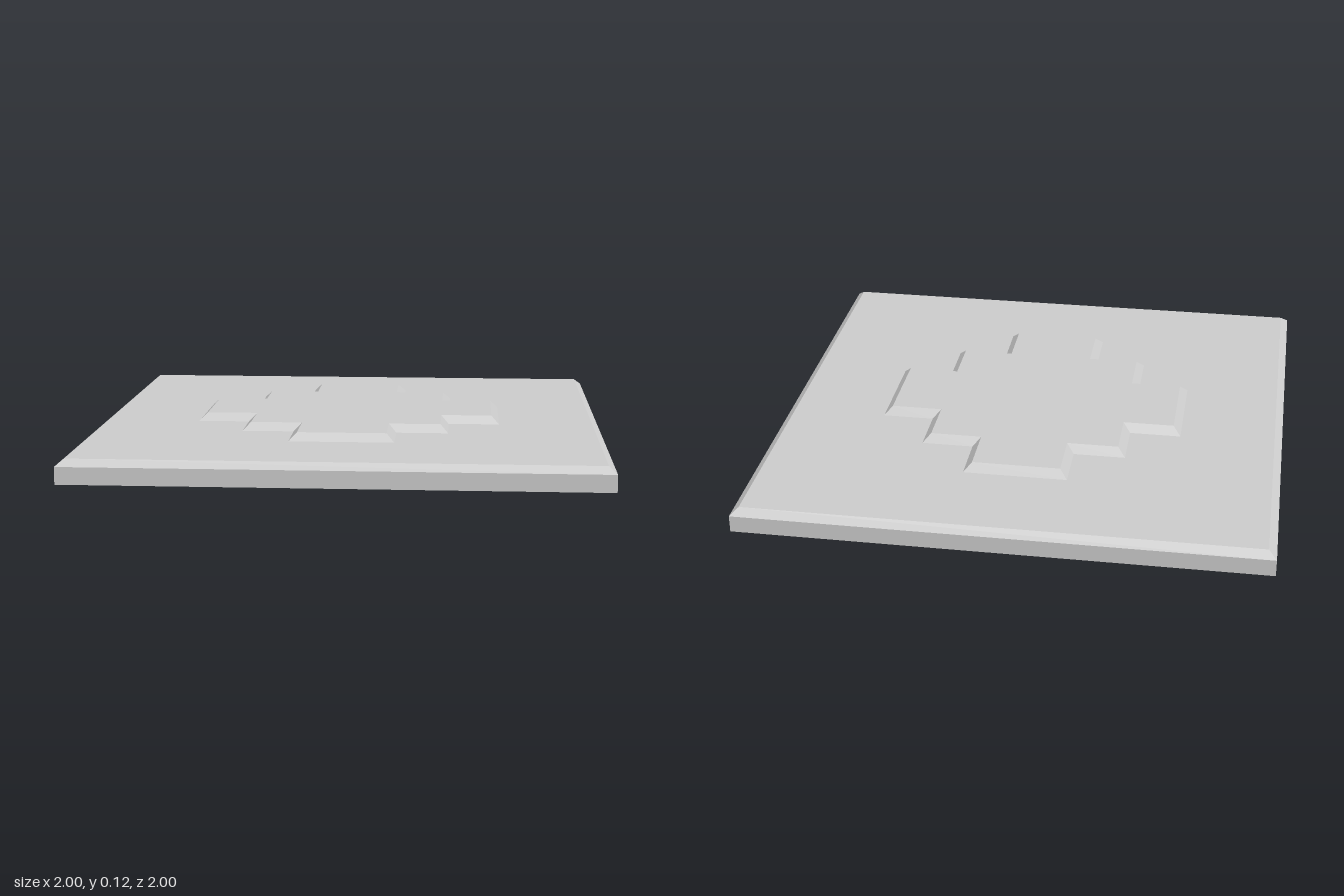
import * as THREE from 'three';

const INSET = 0.03;
const material = new THREE.MeshStandardMaterial({ color: 0xcccccc, flatShading: true });

// Plate with an upright wall (may be 0) topped by a chamfer that leans inward.
function chamferedPlate(name, outline, wall, chamfer) {
  const steps = wall > 0 ? 2 : 1;
  const height = wall + chamfer;
  const geometry = new THREE.ExtrudeGeometry(new THREE.Shape(outline), {
    depth: height, steps, bevelEnabled: false,
  });
  const p = geometry.attributes.position;
  for (let i = 0; i < p.count; i++) {
    const level = Math.round((p.getZ(i) / height) * steps);
    if (level === steps) {
      // top ring: every corner moves toward the centre lines
      p.setX(i, p.getX(i) - Math.sign(p.getX(i)) * INSET);
      p.setY(i, p.getY(i) - Math.sign(p.getY(i)) * INSET);
    } else if (level === 1) {
      p.setZ(i, wall);
    }
  }
  geometry.rotateX(-Math.PI / 2);
  geometry.computeVertexNormals();
  const mesh = new THREE.Mesh(geometry, material);
  mesh.name = name;
  return mesh;
}

// Repeat one quadrant's corners by quarter turns.
function fourfold(corners) {
  const points = [];
  for (let k = 0; k < 4; k++) {
    for (const [x, y] of corners) {
      const [c, s] = [[1, 0], [0, 1], [-1, 0], [0, -1]][k];
      points.push(new THREE.Vector2(x * c - y * s, x * s + y * c));
    }
  }
  return points;
}

export function createModel() {
  const model = new THREE.Group();
  model.name = 'floorTile';

  // Square slab with chamfered upper edge
  model.add(chamferedPlate('slab', fourfold([[1, 1]]), 0.065, 0.025));

  // Raised stepped cross in the middle
  const steppedQuadrant = [[0.6, 0.2], [0.4, 0.2], [0.4, 0.4], [0.2, 0.4], [0.2, 0.6]];
  const cross = chamferedPlate('steppedCross', fourfold(steppedQuadrant), 0, 0.03);
  cross.position.y = 0.09;
  model.add(cross);

  return model;
}
